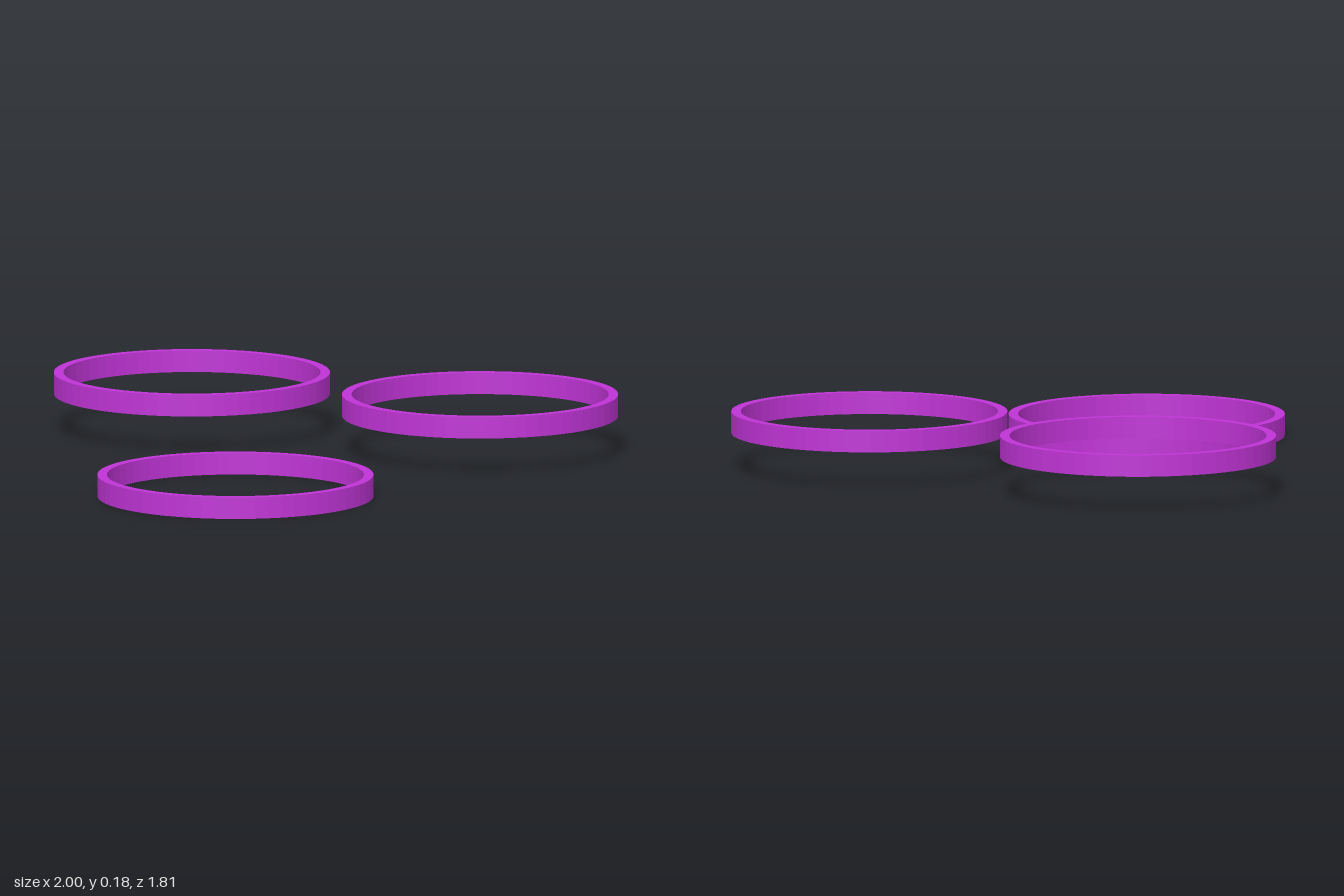
import * as THREE from 'three';

const OUTER = 0.433, INNER = 0.403, HEIGHT = 0.068;

// Flat band with a rectangular section, 32 sides, standing on y = 0
function bandGeometry() {
  const shape = new THREE.Shape().absarc(0, 0, OUTER, 0, Math.PI * 2, false);
  shape.holes.push(new THREE.Path().absarc(0, 0, INNER, 0, Math.PI * 2, true));
  const geometry = new THREE.ExtrudeGeometry(shape, { depth: HEIGHT, bevelEnabled: false, curveSegments: 32 });
  return geometry.rotateX(-Math.PI / 2);
}

export function createModel() {
  const group = new THREE.Group();
  group.name = 'rings';
  const material = new THREE.MeshStandardMaterial({ color: 0xc034d6, flatShading: true });
  const geometry = bandGeometry();

  // One low ring at the front right, two raised rings
  const rings = [
    ['lowerRightRing', -0.567, 0, 0.473],
    ['upperLeftRing', 0.567, 0.114, 0.473],
    ['upperBackRing', 0.262, 0.114, -0.473],
  ];
  for (const [name, x, y, z] of rings) {
    const ring = new THREE.Mesh(geometry, material);
    ring.name = name;
    ring.position.set(x, y, z);
    group.add(ring);
  }
  return group;
}
